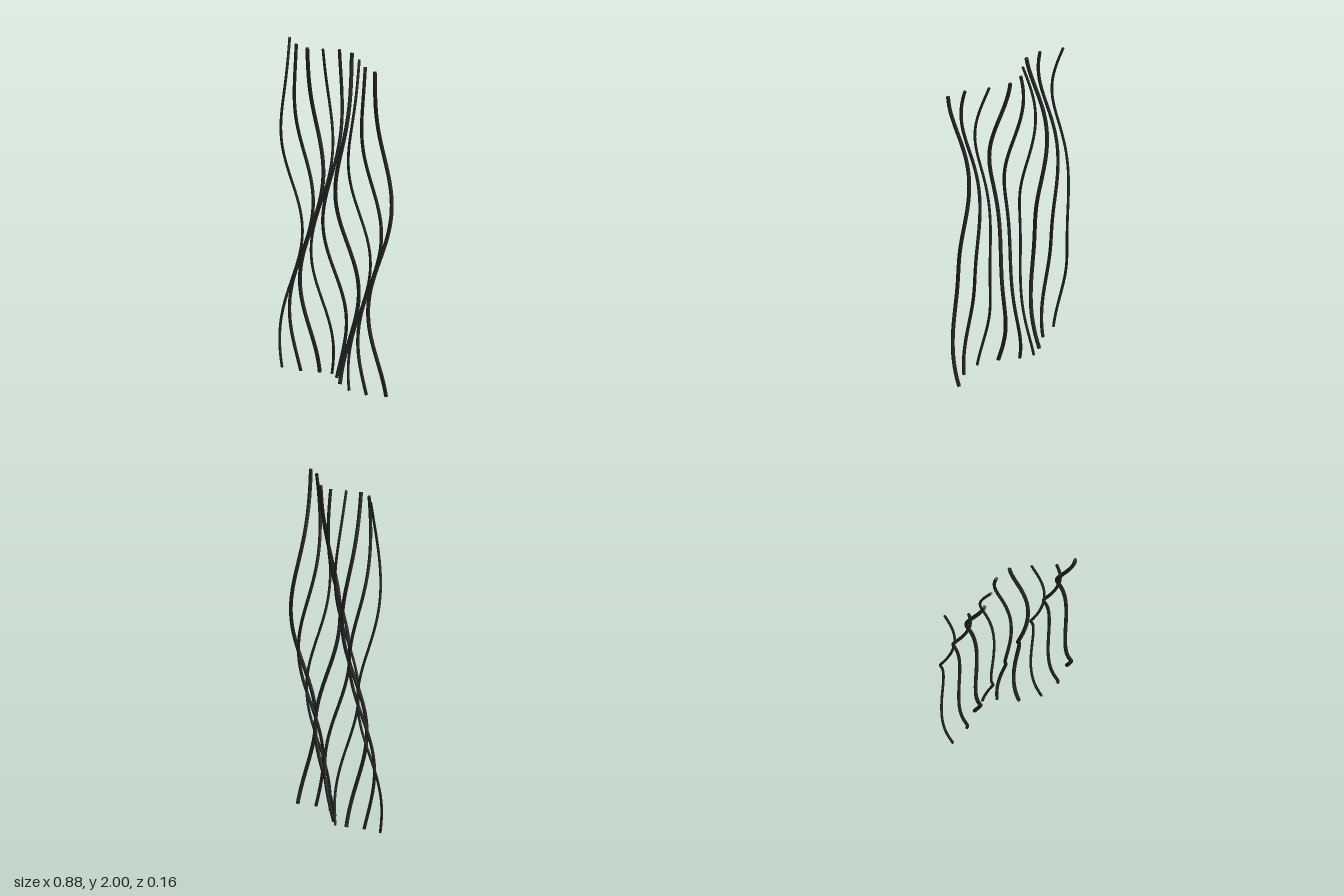
import * as THREE from 'three';

const STRANDS = 9;
const SPACING = 0.1;
const RADII = [0.008, 0.0098, 0.0115]; // thin, medium, thick, repeating
const WAVE_X = 6.5; // sideways wave, radians per unit of drop
const WAVE_Z = 4.0; // front-to-back wave
const SIDES = 8;

// One wavy strand, running from its top end down to the floor
class StrandCurve extends THREE.Curve {
  constructor(x0, phase) {
    super();
    this.x0 = x0;
    this.phase = phase;
  }
  getPoint(t, target = new THREE.Vector3()) {
    const drop = 2 * t;
    return target.set(
      this.x0 + 0.031 * Math.sin(WAVE_X * drop + this.phase),
      1.998 - 1.996 * t,
      0.071 * Math.sin(WAVE_Z * drop + this.phase)
    );
  }
}

// Flat disc closing one end of a strand
function endCap(curve, t, radius, material) {
  const cap = new THREE.Mesh(new THREE.CircleGeometry(radius, SIDES), material);
  const outward = curve.getTangent(t).multiplyScalar(t === 0 ? -1 : 1);
  cap.position.copy(curve.getPoint(t));
  cap.quaternion.setFromUnitVectors(new THREE.Vector3(0, 0, 1), outward);
  cap.name = t === 0 ? 'topCap' : 'bottomCap';
  return cap;
}

export function createModel() {
  const model = new THREE.Group();
  model.name = 'wavyStrands';
  const charcoal = new THREE.MeshStandardMaterial({ color: 0x222222 });
  charcoal.name = 'charcoal';

  for (let i = 0; i < STRANDS; i++) {
    const radius = RADII[i % 3];
    // Each strand is one radian further along the wave than its neighbour
    const curve = new StrandCurve((i - (STRANDS - 1) / 2) * SPACING - 0.002, i);
    const strand = new THREE.Group();
    strand.name = `strand${i + 1}`;
    const tube = new THREE.Mesh(new THREE.TubeGeometry(curve, 64, radius, SIDES), charcoal);
    tube.name = 'strandTube';
    strand.add(tube, endCap(curve, 0, radius, charcoal), endCap(curve, 1, radius, charcoal));
    model.add(strand);
  }
  return model;
}
